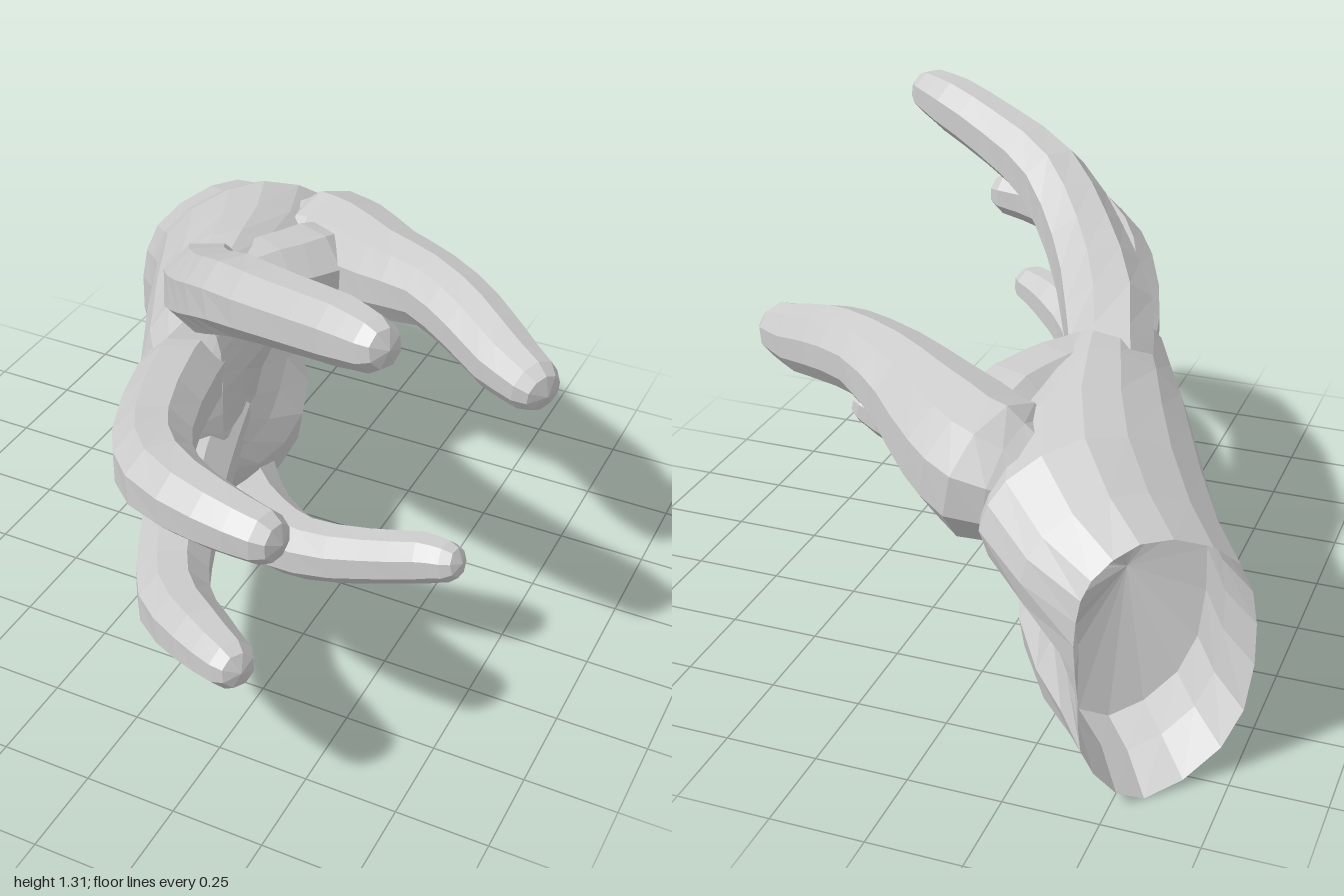
import * as THREE from 'three';

const UP = new THREE.Vector3(0, 1, 0);
const material = new THREE.MeshStandardMaterial({
  color: 0xcccccc, flatShading: true, side: THREE.DoubleSide,
});

// Skin a list of equal-length rings; startTip and endTip close the ends.
function loft(name, rings, startTip, endTip) {
  const n = rings[0].length;
  const points = [...rings.flat(), startTip, endTip];
  const first = rings.length * n;
  const last = first - n;
  const index = [];
  for (let j = 0; j < n; j++) {
    const k = (j + 1) % n;
    for (let i = 0; i < rings.length - 1; i++) {
      const a = i * n, b = a + n;
      index.push(a + j, a + k, b + k, a + j, b + k, b + j);
    }
    index.push(first, k, j, first + 1, last + j, last + k);
  }
  const geometry = new THREE.BufferGeometry().setFromPoints(points);
  geometry.setIndex(index);
  geometry.computeVertexNormals();
  const mesh = new THREE.Mesh(geometry, material);
  mesh.name = name;
  return mesh;
}

// Round ring of radius r about centre c, facing along t.
function ring(c, t, r, sides) {
  const u = new THREE.Vector3().crossVectors(UP, t).normalize();
  const v = new THREE.Vector3().crossVectors(t, u);
  return Array.from({ length: sides }, (_, j) => {
    const a = ((j + 0.5) / sides) * Math.PI * 2;
    return c.clone().addScaledVector(u, r * Math.cos(a)).addScaledVector(v, r * Math.sin(a));
  });
}

// Rounded limb along a path of [x, y, z, radius], with a domed tip.
function limb(name, path, sides = 8) {
  const curve = new THREE.CatmullRomCurve3(path.map(([x, y, z]) => new THREE.Vector3(x, y, z)));
  const steps = (path.length - 1) * 2;
  const rings = [];
  let c, t, r;
  for (let i = 0; i <= steps; i++) {
    const k = Math.floor(i / 2);
    const next = path[Math.min(k + 1, path.length - 1)];
    c = curve.getPoint(i / steps);
    t = curve.getTangent(i / steps);
    r = THREE.MathUtils.lerp(path[k][3], next[3], (i % 2) / 2) * 1.03;
    rings.push(ring(c, t, r, sides));
  }
  rings.push(ring(c.clone().addScaledVector(t, r * 0.5), t, r * 0.72, sides));
  return loft(name, rings, curve.getPoint(0), c.clone().addScaledVector(t, r * 0.75));
}

// Palm and wrist: each section gives the centre, heading, depth of the back,
// thumb mound, hollow and heel, then the half height and knuckle arch.
function palm() {
  const sections = [
    [-0.61, 0.36, -0.83, 0.79, 0.24, 0.25, 0.24, 0.22, 0.36, 0.00],
    [-0.53, 0.39, -0.72, 0.75, 0.225, 0.34, 0.21, 0.23, 0.385, 0.00],
    [-0.45, 0.43, -0.60, 0.70, 0.22, 0.40, 0.19, 0.26, 0.425, 0.00],
    [-0.37, 0.45, -0.42, 0.60, 0.21, 0.36, 0.17, 0.29, 0.435, 0.00],
    [-0.30, 0.465, -0.25, 0.53, 0.20, 0.27, 0.15, 0.28, 0.44, 0.01],
    [-0.23, 0.48, -0.09, 0.50, 0.19, 0.18, 0.14, 0.23, 0.43, 0.03],
    [-0.17, 0.51, 0.07, 0.48, 0.17, 0.13, 0.12, 0.17, 0.40, 0.06],
    [-0.12, 0.56, 0.21, 0.46, 0.12, 0.09, 0.09, 0.10, 0.32, 0.08],
  ];
  const sides = 22;
  const rings = sections.map(([x, y, z, heading, back, mound, hollow, heel, high, arch]) => {
    const t = new THREE.Vector3(Math.sin(heading), 0, Math.cos(heading));
    const u = new THREE.Vector3().crossVectors(UP, t);
    const outline = new THREE.CatmullRomCurve3([
      [hollow, -0.05], [mound, 0.45], [mound * 0.85, 0.8], [mound * 0.25, 1],
      [-back * 0.72, 0.7], [-back, 0.1], [-back * 0.75, -0.7], [heel * 0.3, -1], [heel, -0.55],
    ].map(([across, v]) => new THREE.Vector3(x, y + high * v, z)
      .addScaledVector(u, across)
      .addScaledVector(t, -arch * v * v)), true);
    return outline.getPoints(sides).slice(0, sides);
  });
  // Hollow wrist: a thin wall folded inward from the rim
  const [, ...centres] = sections.slice(0, 3).map(([x, y, z]) => new THREE.Vector3(x, y, z));
  const lining = centres.map((c, i) => rings[i + 1].map((p) => p.clone().lerp(c, 0.1)));
  return loft('palm', [...lining.reverse(), ...rings],
    new THREE.Vector3(-0.41, 0.43, -0.53), new THREE.Vector3(-0.10, 0.59, 0.26));
}

export function createModel() {
  const hand = new THREE.Group();
  hand.name = 'hand';
  hand.add(palm());

  // Fingers, from knuckle to tip
  hand.add(limb('indexFinger', [
    [-0.26, 0.76, -0.21, 0.11], [-0.18, 0.88, -0.01, 0.125], [-0.05, 1.00, 0.18, 0.11],
    [0.10, 1.11, 0.33, 0.102], [0.30, 1.18, 0.45, 0.09], [0.48, 1.23, 0.54, 0.082],
    [0.58, 1.25, 0.59, 0.066],
  ]));
  hand.add(limb('middleFinger', [
    [-0.19, 0.68, -0.01, 0.11], [-0.14, 0.72, 0.24, 0.115], [-0.025, 0.77, 0.57, 0.106],
    [0.11, 0.82, 0.75, 0.10], [0.30, 0.845, 0.84, 0.082], [0.445, 0.85, 0.87, 0.066],
  ]));
  hand.add(limb('ringFinger', [
    [-0.17, 0.46, -0.02, 0.11], [-0.09, 0.445, 0.26, 0.11], [0.03, 0.43, 0.57, 0.10],
    [0.13, 0.445, 0.75, 0.095], [0.28, 0.49, 0.88, 0.08], [0.395, 0.51, 0.95, 0.062],
  ]));
  hand.add(limb('littleFinger', [
    [-0.21, 0.24, -0.20, 0.11], [-0.07, 0.19, -0.01, 0.115], [0.08, 0.20, 0.10, 0.10],
    [0.22, 0.225, 0.155, 0.085], [0.42, 0.29, 0.18, 0.074], [0.58, 0.35, 0.19, 0.068],
    [0.65, 0.37, 0.20, 0.055],
  ]));

  // Thumb growing out of its mound
  hand.add(limb('thumb', [
    [-0.22, 0.68, -0.66, 0.13], [-0.10, 0.70, -0.635, 0.185], [0.02, 0.735, -0.57, 0.17],
    [0.19, 0.785, -0.455, 0.133], [0.35, 0.82, -0.37, 0.108], [0.50, 0.80, -0.285, 0.104],
    [0.62, 0.765, -0.21, 0.096], [0.73, 0.75, -0.145, 0.076],
  ], 10));

  // Skin between thumb and index finger
  hand.add(limb('thumbWeb', [
    [-0.04, 0.73, -0.54, 0.12], [-0.07, 0.75, -0.42, 0.135], [-0.14, 0.77, -0.28, 0.125],
    [-0.21, 0.80, -0.14, 0.09],
  ]));
  return hand;
}
